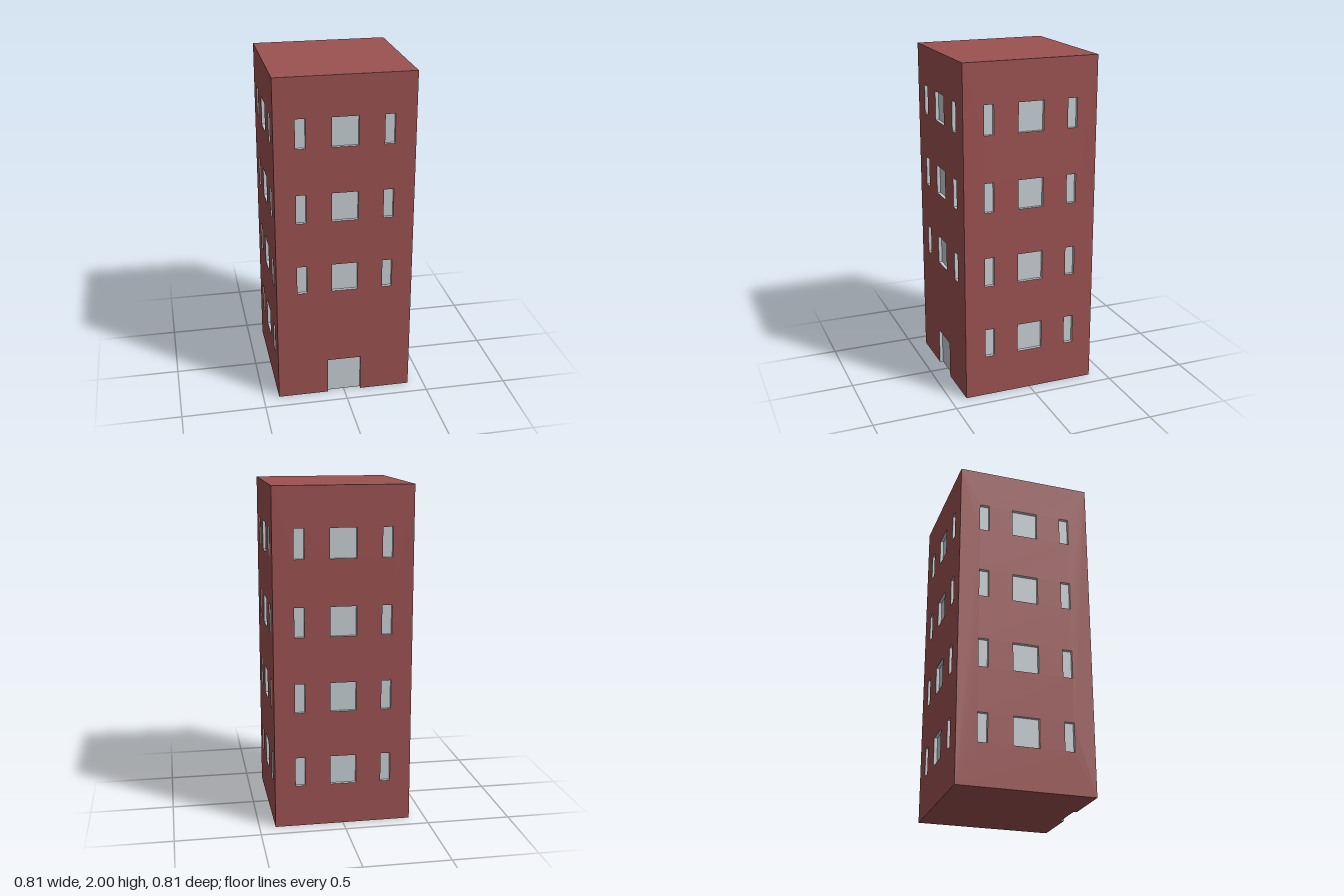
import * as THREE from 'three';

const HALF = 0.405, HEIGHT = 2, DEPTH = 0.02;
const FLOORS = [0.336, 0.783, 1.23, 1.677]; // window centre heights
const WINDOW_H = 0.173;
const DOOR_W = 0.204, DOOR_H = 0.225;

const brick = new THREE.MeshStandardMaterial({ color: 0x9b5151 });
const glass = new THREE.MeshStandardMaterial({ color: 0xc5cdd1 });

function polygon(points) {
  return new THREE.Shape(points.map(([x, y]) => new THREE.Vector2(x, y)));
}

function addMesh(parent, name, geometry, material) {
  const mesh = new THREE.Mesh(geometry, material);
  mesh.name = name;
  parent.add(mesh);
  return mesh;
}

// Pane with its reveals: a box turned inside out, open at the front (and at the foot for a door)
function recessGeometry(w, h, openFoot) {
  const box = new THREE.BoxGeometry(w, h, DEPTH);
  const index = Array.from(box.index.array).slice(0, 30);
  if (openFoot) index.splice(18, 6);
  box.setIndex(index);
  const geometry = box.toNonIndexed();
  geometry.scale(1, 1, -1);
  geometry.computeVertexNormals();
  return geometry;
}

// One facade in the xy plane, facing +z, with its openings
function createFacade(name, hasDoor) {
  const facade = new THREE.Group();
  facade.name = name;
  const d = DOOR_W / 2;
  const doorway = hasDoor ? [[-d, 0], [-d, DOOR_H], [d, DOOR_H], [d, 0]] : [];
  const wall = polygon([[-HALF, 0], ...doorway, [HALF, 0], [HALF, HEIGHT], [-HALF, HEIGHT]]);

  for (const y of hasDoor ? FLOORS.slice(1) : FLOORS) {
    for (const [x, w] of [[-0.254, 0.058], [0, 0.154], [0.254, 0.058]]) {
      const a = w / 2, b = WINDOW_H / 2;
      wall.holes.push(polygon([[x - a, y - b], [x - a, y + b], [x + a, y + b], [x + a, y - b]]));
      addMesh(facade, 'window', recessGeometry(w, WINDOW_H, false), glass)
        .position.set(x, y, -DEPTH / 2);
    }
  }
  if (hasDoor) {
    addMesh(facade, 'door', recessGeometry(DOOR_W, DOOR_H, true), glass)
      .position.set(0, DOOR_H / 2, -DEPTH / 2);
  }
  addMesh(facade, 'wall', new THREE.ShapeGeometry(wall), brick);
  return facade;
}

export function createModel() {
  const building = new THREE.Group();
  building.name = 'building';

  // Four facades turned about the vertical axis
  ['frontFacade', 'leftFacade', 'backFacade', 'rightFacade'].forEach((name, i) => {
    const facade = createFacade(name, i === 0);
    const angle = i * Math.PI / 2;
    facade.rotation.y = angle;
    facade.position.set(Math.sin(angle) * HALF, 0, Math.cos(angle) * HALF);
    building.add(facade);
  });

  // Flat roof
  const roof = addMesh(building, 'roof', new THREE.PlaneGeometry(2 * HALF, 2 * HALF), brick);
  roof.rotation.x = -Math.PI / 2;
  roof.position.y = HEIGHT;

  // Underside, notched at the doorway
  const d = DOOR_W / 2, n = HALF - DEPTH;
  const floor = polygon([[-HALF, -HALF], [HALF, -HALF], [HALF, HALF], [d, HALF],
    [d, n], [-d, n], [-d, HALF], [-HALF, HALF]]);
  addMesh(building, 'base', new THREE.ShapeGeometry(floor), brick).rotation.x = Math.PI / 2;

  return building;
}
